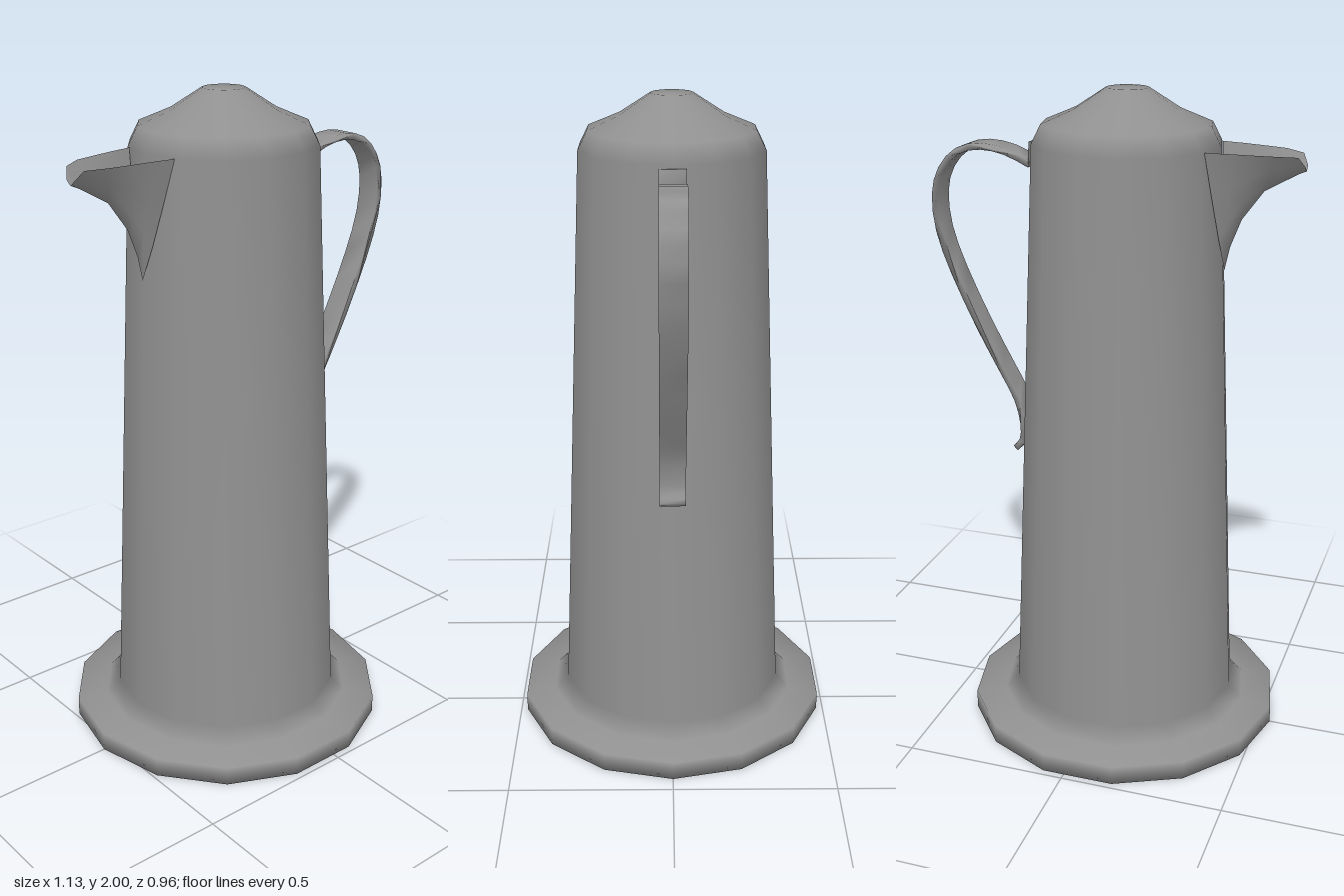
import * as THREE from 'three';
import { mergeVertices } from 'three/addons/utils/BufferGeometryUtils.js';

const AXIS_X = -0.044; // the pot stands slightly off centre to balance the handle
const SIDES = 14;
const HANDLE_WIDTH = 0.078;
const COLOR = 0x909090;

const material = new THREE.MeshStandardMaterial({ color: COLOR });
const thinMaterial = new THREE.MeshStandardMaterial({ color: COLOR, side: THREE.DoubleSide });
const vectors = (points) => points.map(([x, y]) => new THREE.Vector2(x, y));

function addMesh(group, name, geometry, mat = material) {
  const mesh = new THREE.Mesh(geometry, mat);
  mesh.name = name;
  group.add(mesh);
  return mesh;
}

// Shares every corner so the shading runs softly over all edges
function softened(geometry) {
  geometry.deleteAttribute('uv');
  geometry.deleteAttribute('normal');
  const merged = mergeVertices(geometry);
  merged.computeVertexNormals();
  return merged;
}

// Flat strip of constant thickness following a path in the xy plane
function ribbon(path, thickness, width) {
  const offset = (side) => path.map((p, i) => {
    const a = path[Math.max(i - 1, 0)], b = path[Math.min(i + 1, path.length - 1)];
    const t = b.clone().sub(a).normalize();
    return new THREE.Vector2(p.x - t.y * side, p.y + t.x * side);
  });
  const outline = [...offset(thickness / 2), ...offset(-thickness / 2).reverse()];
  const geometry = new THREE.ExtrudeGeometry(new THREE.Shape(outline), { depth: width, bevelEnabled: false });
  geometry.translate(0, 0, -width / 2);
  return softened(geometry);
}

// Open V-shaped channel lofted from the body to the lip
function spoutGeometry() {
  // [rim x, rim y, half width, keel x, keel y]
  const stations = [
    [-0.300, 1.845, 0.105, -0.341, 1.490],
    [-0.365, 1.844, 0.096, -0.356, 1.560],
    [-0.430, 1.842, 0.086, -0.388, 1.643],
    [-0.495, 1.840, 0.074, -0.450, 1.728],
    [-0.550, 1.835, 0.042, -0.545, 1.782],
    [-0.567, 1.805, 0.018, -0.567, 1.791],
  ];
  const across = 6;
  const positions = [], index = [];
  stations.forEach(([rx, ry, w, kx, ky], i) => {
    for (let j = 0; j <= across; j++) {
      const s = (j / across) * 2 - 1;
      const rise = Math.abs(s) ** 1.15;
      positions.push(kx + (rx - kx) * rise, ky + (ry - ky) * rise, w * s);
      if (i && j) {
        const d = i * (across + 1) + j, c = d - 1, b = d - across - 1, a = b - 1;
        index.push(a, b, d, a, d, c);
      }
    }
  });
  const geometry = new THREE.BufferGeometry();
  geometry.setAttribute('position', new THREE.Float32BufferAttribute(positions, 3));
  geometry.setIndex(index);
  geometry.computeVertexNormals();
  return geometry;
}

export function createModel() {
  const model = new THREE.Group();
  model.name = 'coffeePot';

  // Wide foot, tapering wall and domed lid turned as one, with a corner on the x axis
  const profile = vectors([
    [0, 0], [0.492, 0], [0.492, 0.058], [0.395, 0.067], [0.353, 0.11],
    [0.278, 1.845], [0.25, 1.9], [0.155, 1.94], [0.062, 2], [0, 2],
  ]);
  const body = softened(new THREE.LatheGeometry(profile, SIDES, Math.PI / 2));
  addMesh(model, 'body', body).position.x = AXIS_X;

  addMesh(model, 'spout', spoutGeometry(), thinMaterial);

  // Swept handle, with a short mounting tab at the top and a curl at the foot
  const sweep = new THREE.SplineCurve(vectors([
    [0.245, 1.77], [0.32, 1.803], [0.40, 1.815], [0.475, 1.797], [0.53, 1.74],
    [0.554, 1.66], [0.545, 1.55], [0.50, 1.42], [0.42, 1.25], [0.35, 1.12],
    [0.303, 1.03], [0.284, 0.95], [0.288, 0.895], [0.312, 0.865],
  ])).getPoints(26);
  addMesh(model, 'handle', ribbon(sweep, 0.02, HANDLE_WIDTH));
  addMesh(model, 'handleTab', ribbon(vectors([[0.239, 1.836], [0.242, 1.764]]), 0.014, HANDLE_WIDTH));

  return model;
}
